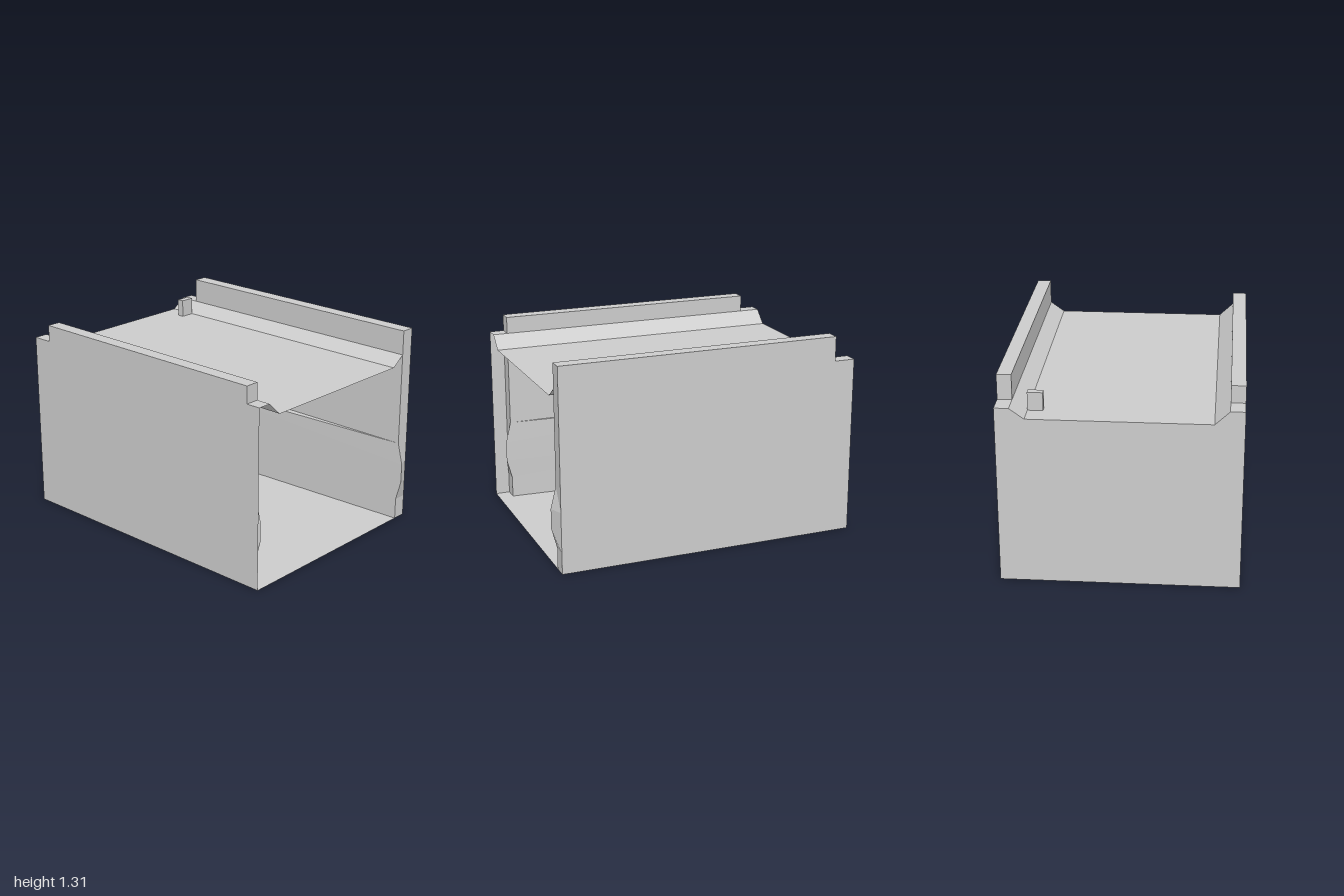
import * as THREE from 'three';

const material = new THREE.MeshStandardMaterial({ color: 0xcccccc, flatShading: true, side: THREE.DoubleSide });

// Main extents
const X0 = -1, X1 = 0.965, XIN = -0.865; // closed end, open end, inner face of the end wall
const ZO = 0.74, ZI = 0.65, ZR = 0.56;   // outer wall, inner wall, edge of the flat roof
const ROOF = 1.085, FRONT = 1.17, BACK = 1.15;

export function createModel() {
  const model = new THREE.Group();

  const add = (name, geometry) => {
    const mesh = new THREE.Mesh(geometry, material);
    mesh.name = name;
    model.add(mesh);
    return mesh;
  };

  const box = (name, x0, x1, y0, y1, z0, z1) =>
    add(name, new THREE.BoxGeometry(x1 - x0, y1 - y0, z1 - z0))
      .position.set((x0 + x1) / 2, (y0 + y1) / 2, (z0 + z1) / 2);

  // Surface through a list of cross-sections with equal point counts
  const loft = (name, sections) => {
    const pos = [];
    for (let i = 0; i < sections.length - 1; i++) {
      for (let j = 0; j < sections[i].length - 1; j++) {
        const a = sections[i][j], b = sections[i + 1][j];
        const c = sections[i + 1][j + 1], d = sections[i][j + 1];
        pos.push(...a, ...b, ...c, ...a, ...c, ...d);
      }
    }
    const geometry = new THREE.BufferGeometry();
    geometry.setAttribute('position', new THREE.Float32BufferAttribute(pos, 3));
    geometry.computeVertexNormals();
    return add(name, geometry);
  };

  // Floor and roof sheets
  loft('floor', [[[X0, 0, ZO], [X1, 0, ZO]], [[X0, 0, -ZO], [X1, 0, -ZO]]]);
  const roof = [[ZO, FRONT], [ZI, FRONT], [ZR, ROOF], [-ZR, ROOF], [-ZI, BACK], [-ZO, BACK]];
  loft('roof', [X1, X0].map(x => roof.map(([z, y]) => [x, y, z])));

  // Thick closed end wall following the roof profile
  const endShape = new THREE.Shape([[ZO, 0], ...roof, [-ZO, 0]].map(([z, y]) => new THREE.Vector2(-z, y)));
  const endWall = new THREE.ExtrudeGeometry(endShape, { depth: XIN - X0, bevelEnabled: false });
  endWall.rotateY(Math.PI / 2).translate(X0, 0, 0);
  add('endWall', endWall);

  // Side walls: outer skin, bulged open end, tapered lower lining, ledge and upper lining
  const bulge = [[0, 0], [0.14, 0], [0.27, 0.035], [0.40, 0.035], [0.54, 0]];
  for (const [side, s, xe, top] of [['front', 1, 0.87, FRONT], ['back', -1, X1, BACK]]) {
    loft(side + 'WallOuter', [X0, X1].map(x => [[x, 0, s * ZO], [x, top, s * ZO]]));
    const outerEdge = [...bulge, [top, 0]].map(([y]) => [xe, y, s * ZO]);
    const innerEdge = [...bulge, [top, 0]].map(([y, d]) => [xe + d, y, s * ZI]);
    loft(side + 'WallEnd', [outerEdge, innerEdge]);
    loft(side + 'GuideLining', [innerEdge.slice(0, 5), bulge.map(([y]) => [XIN, y, s * ZR])]);
    loft(side + 'GuideLedge', [
      [[xe, 0.54, s * ZI], [xe, 0.54, s * ZI]],
      [[XIN, 0.54, s * ZI], [XIN, 0.54, s * ZR]],
    ]);
    loft(side + 'WallUpperLining', [xe, XIN].map(x => [[x, 0.54, s * ZI], [x, top, s * ZI]]));
  }

  // Rails along the top edges
  box('frontRail', XIN, 0.87, FRONT, 1.28, ZI, ZO);
  box('backRail', XIN, X1, BACK, 1.31, -ZO, -ZI);

  // Ridge inside the end wall, deeper and higher in the middle
  const low = [[0, 0.14], [0.13, 0.27], [0.13, 0.40], [0, 0.54]];
  const high = [[0, 0.14], [0.235, 0.375], [0.235, 0.51], [0, 0.54]];
  const stations = [[ZR, low], [0.465, low], [0.37, high], [-0.37, high], [-0.465, low], [-ZR, low]];
  loft('endRidge', stations.map(([z, p]) => p.map(([d, y]) => [XIN + d, y, z])));

  // Wedge-shaped catch above the ridge
  const wedge = new THREE.Shape([[0, 0.765], [0.045, 0.775], [0, 0.905]].map(p => new THREE.Vector2(...p)));
  const catchGeometry = new THREE.ExtrudeGeometry(wedge, { depth: 0.74, bevelEnabled: false });
  add('catch', catchGeometry.translate(XIN, 0, -0.37));

  // Posts standing on the ridge against the end wall
  box('frontPost', XIN, -0.82, 0.54, 1.04, 0.465, ZR);
  box('backPost', XIN, -0.82, 0.54, 1.20, -ZR, -0.465);

  return model;
}
